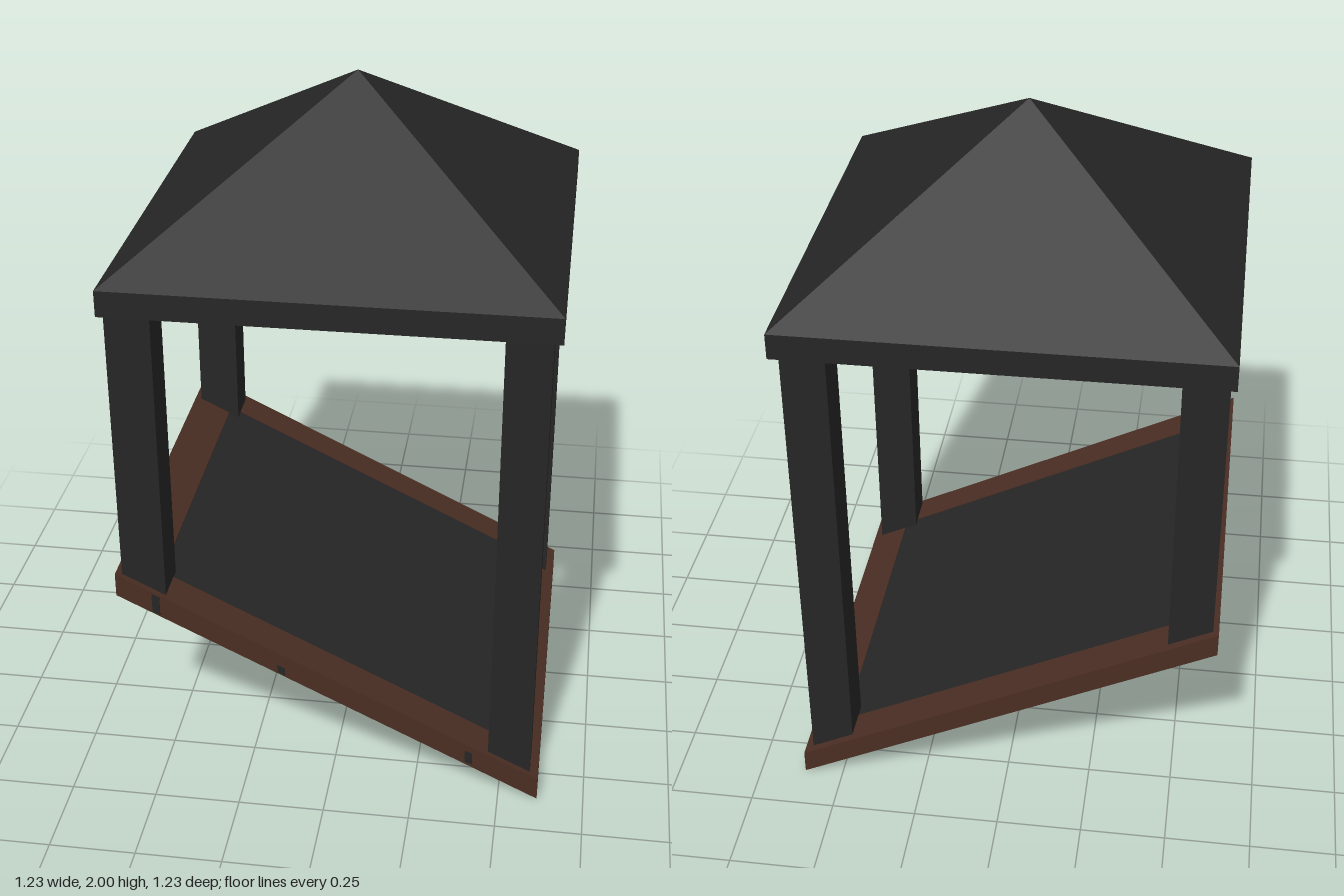
import * as THREE from 'three';

const HALF = 0.615;   // half width of roof and base
const SLOPE = -0.494; // base falls towards +x
const BASE_MID = 0.307;

// Square ring lying flat, from y = 0 to y = height
function ringGeometry(inner, height) {
  const square = (Type, r) => {
    const p = new Type();
    p.moveTo(-r, -r);
    p.lineTo(r, -r);
    p.lineTo(r, r);
    p.lineTo(-r, r);
    p.closePath();
    return p;
  };
  const shape = square(THREE.Shape, HALF);
  shape.holes.push(square(THREE.Path, inner));
  const geo = new THREE.ExtrudeGeometry(shape, { depth: height, bevelEnabled: false });
  geo.rotateX(-Math.PI / 2);
  return geo;
}

// Shears a geometry onto the sloping base; `test` picks the vertices to move
function shear(geo, test = () => true) {
  const p = geo.attributes.position;
  for (let i = 0; i < p.count; i++) {
    if (test(p.getY(i))) p.setY(i, p.getY(i) + BASE_MID + SLOPE * p.getX(i));
  }
  geo.computeVertexNormals();
  return geo;
}

export function createModel() {
  const model = new THREE.Group();
  const charcoal = new THREE.MeshStandardMaterial({ color: 0x262626 });
  charcoal.name = 'charcoal';
  const rust = new THREE.MeshStandardMaterial({ color: 0x4a2e23 });
  rust.name = 'rust brown';

  const add = (name, geo, material) => {
    const mesh = new THREE.Mesh(geo, material);
    mesh.name = name;
    model.add(mesh);
    return mesh;
  };

  // Sloping base frame with the dark panel set into it
  add('baseFrame', shear(ringGeometry(0.505, 0.072)), rust);
  const panel = new THREE.BoxGeometry(1.02, 0.055, 1.04).translate(0, 0.042, 0);
  add('basePanel', shear(panel), charcoal);

  // Small dark marks on the front edge of the frame
  for (const [x, y, h] of [[-0.5, 0.036, 0.06], [-0.14, 0.018, 0.025], [0.41, 0.03, 0.04]]) {
    const mark = new THREE.BoxGeometry(0.022, h, 0.004).translate(x, y, HALF);
    add('edgeMark', shear(mark), charcoal);
  }

  // Four posts, their feet cut to the slope
  for (const sx of [-1, 1]) {
    for (const sz of [-1, 1]) {
      const post = new THREE.BoxGeometry(0.125, 1.46, 0.125);
      post.translate(sx * 0.532 - 0.004, 0.78, sz * 0.532 + 0.004);
      add('post', shear(post, (y) => y < 0.5), charcoal);
    }
  }

  // Eave band, open in the middle, with the pyramid roof above
  const eave = add('eaveBand', ringGeometry(0.495, 0.075), charcoal);
  eave.position.y = 1.495;
  const pyramid = new THREE.ConeGeometry(HALF * Math.SQRT2, 0.43, 4, 1).toNonIndexed();
  pyramid.rotateY(Math.PI / 4);
  pyramid.computeVertexNormals();
  add('roof', pyramid, charcoal).position.y = 1.785;

  return model;
}
